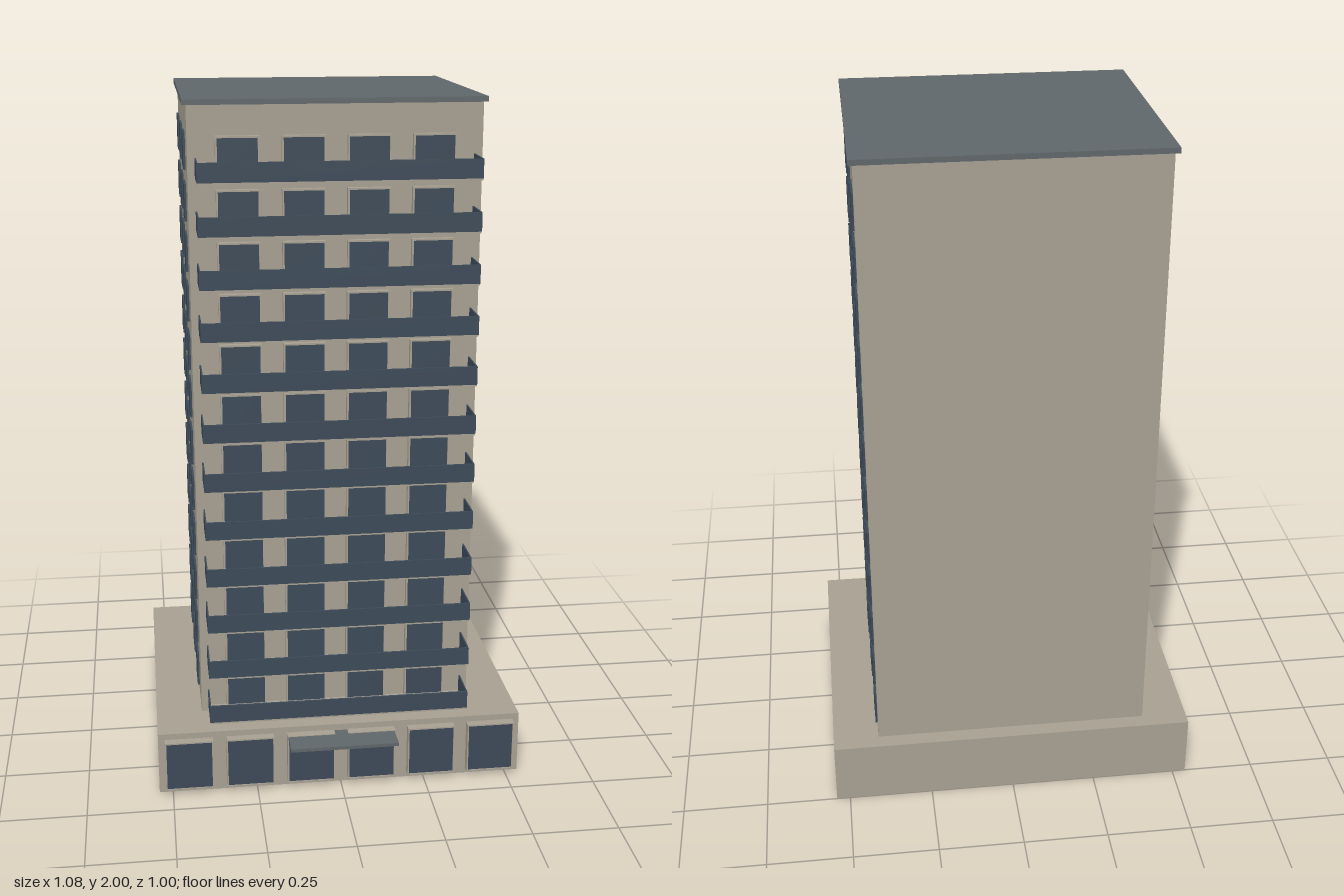
import * as THREE from 'three';

export function createModel() {
  const root = new THREE.Group();
  root.name = 'apartmentTower';

  const mat = (name, color) => {
    const m = new THREE.MeshStandardMaterial({ color });
    m.name = name;
    return m;
  };
  const wall = mat('beigeWall', 0xa8a092);
  const dark = mat('blueGlass', 0x3c4a58);
  const slate = mat('slateRoof', 0x60676a);

  // Box given by its two extremes on each axis
  const box = (parent, name, material, [x0, x1], [y0, y1], [z0, z1]) => {
    const mesh = new THREE.Mesh(new THREE.BoxGeometry(x1 - x0, y1 - y0, z1 - z0), material);
    mesh.position.set((x0 + x1) / 2, (y0 + y1) / 2, (z0 + z1) / 2);
    mesh.name = name;
    parent.add(mesh);
    return mesh;
  };

  // Framed opening on a front wall: beige surround, glass and a thin transom
  const frontOpening = (parent, name, x, w, [y0, y1], z, depth, trim) => {
    const g = new THREE.Group();
    g.name = name;
    const h = w / 2;
    box(g, 'frameHead', wall, [x - h, x + h], [y1 - trim, y1], [z, z + depth]);
    box(g, 'frameSill', wall, [x - h, x + h], [y0, y0 + trim], [z, z + depth]);
    for (const s of [-1, 1]) {
      const e = x + s * h, i = x + s * (h - trim);
      box(g, 'frameJamb', wall, [Math.min(e, i), Math.max(e, i)], [y0 + trim, y1 - trim], [z, z + depth]);
    }
    box(g, 'glass', dark, [x - h + trim, x + h - trim], [y0 + trim, y1 - trim], [z, z + depth - 0.003]);
    parent.add(g);
  };

  // Main masses
  box(root, 'podium', wall, [-0.54, 0.54], [0, 0.19], [-0.5, 0.4]);
  box(root, 'towerBody', wall, [-0.405, 0.405], [0.19, 1.985], [-0.455, 0.27]);
  box(root, 'roofSlab', slate, [-0.416, 0.416], [1.985, 2], [-0.467, 0.278]);

  // Ground floor shopfronts and entrance canopy
  for (const x of [-0.45, -0.27, -0.09, 0.09, 0.27, 0.45]) {
    frontOpening(root, 'shopWindow', x, 0.141, [0.018, 0.172], 0.4, 0.025, 0.004);
  }
  box(root, 'entranceCanopy', slate, [-0.158, 0.158], [0.16, 0.17], [0.4, 0.497]);

  // Twelve repeated floors
  for (let i = 0; i < 12; i++) {
    const floor = new THREE.Group();
    floor.name = 'floor' + (i + 1);
    floor.position.y = 0.205 + i * 0.144;
    root.add(floor);

    // Balcony with a slab and solid parapets
    box(floor, 'balconySlab', wall, [-0.384, 0.384], [-0.002, 0.005], [0.27, 0.379]);
    box(floor, 'balconyFront', dark, [-0.385, 0.385], [0.003, 0.056], [0.374, 0.38]);
    box(floor, 'balconySideRight', dark, [-0.385, -0.381], [0.003, 0.056], [0.27, 0.375]);
    box(floor, 'balconySideLeft', dark, [0.381, 0.385], [0.003, 0.056], [0.27, 0.375]);

    // Balcony windows
    for (const x of [-0.27, -0.09, 0.09, 0.27]) {
      frontOpening(floor, 'balconyWindow', x, 0.12, [0.005, 0.114], 0.27, 0.017, 0.005);
    }

    // Side windows
    for (const z of [0.09, -0.136, -0.364]) {
      box(floor, 'sideWindowLeft', dark, [0.404, 0.411], [0.007, 0.11], [z - 0.05, z + 0.05]);
      box(floor, 'sideWindowRight', dark, [-0.411, -0.404], [0.007, 0.11], [z - 0.05, z + 0.05]);
    }
  }

  return root;
}
